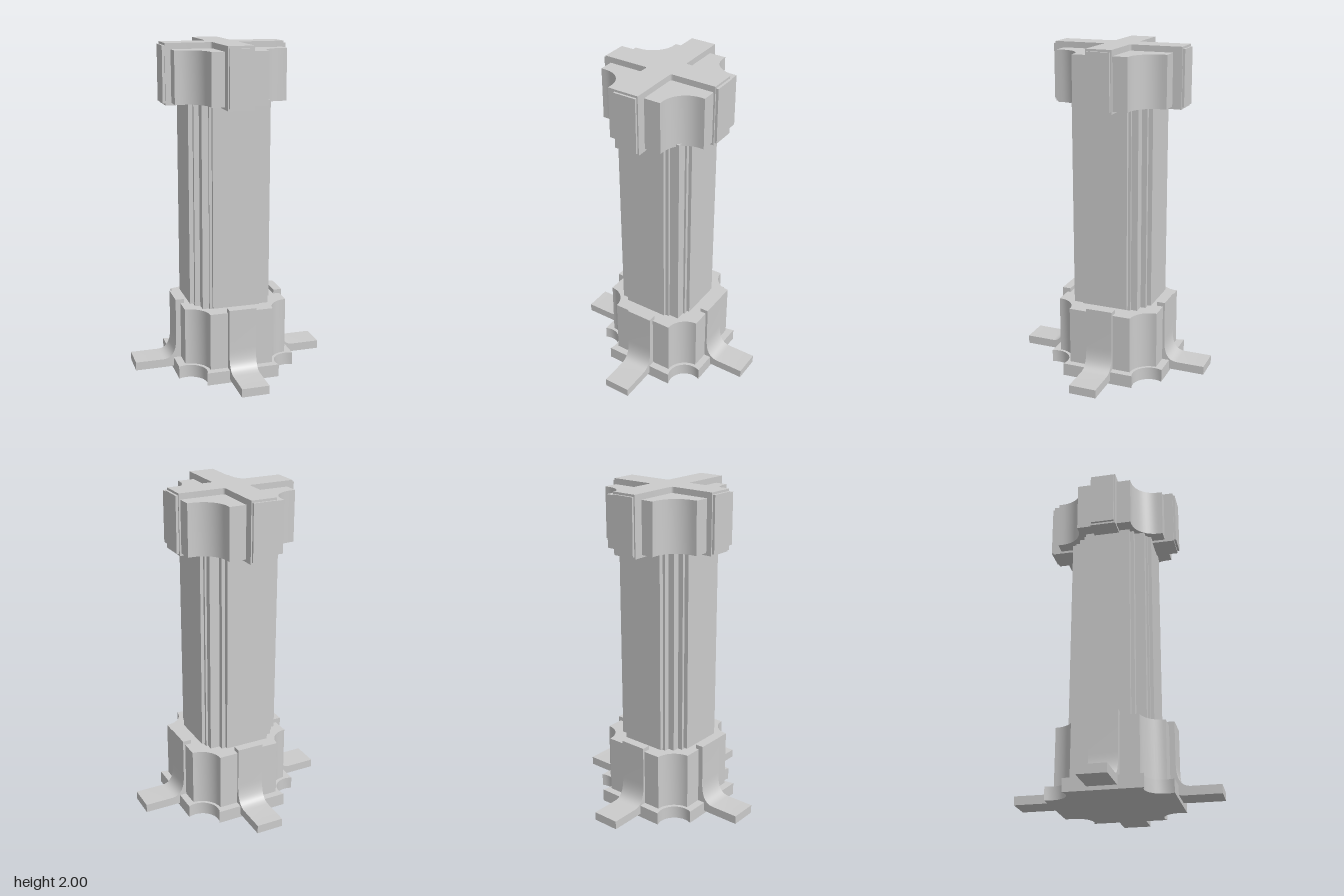
import * as THREE from 'three';
import { toCreasedNormals } from 'three/addons/utils/BufferGeometryUtils.js';

const material = new THREE.MeshStandardMaterial({ color: 0xcccccc });

function add(parent, name, geometry, x = 0, y = 0, z = 0) {
  const mesh = new THREE.Mesh(geometry, material);
  mesh.name = name;
  mesh.position.set(x, y, z);
  parent.add(mesh);
  return mesh;
}

// Extrude a plan outline upwards from y = 0
function extrudeUp(points, height) {
  const geometry = new THREE.ExtrudeGeometry(new THREE.Shape(points), { depth: height, bevelEnabled: false });
  return toCreasedNormals(geometry.rotateX(-Math.PI / 2), 0.5);
}

// Repeat one corner's points around four quarter turns
function fourfold(corner) {
  const points = [];
  for (let k = 0; k < 4; k++) {
    for (const p of corner) points.push(p.clone().rotateAround(new THREE.Vector2(), k * Math.PI / 2));
  }
  return points;
}

// Square block with a round scoop taken out of each corner
function scooped(half, flat, centre, radius, sweepDeg, height) {
  const corner = [new THREE.Vector2(half, flat)];
  const steps = 12;
  for (let i = 0; i <= steps; i++) {
    const a = THREE.MathUtils.degToRad(225 + sweepDeg * (1 - 2 * i / steps));
    corner.push(new THREE.Vector2(centre + radius * Math.cos(a), centre + radius * Math.sin(a)));
  }
  corner.push(new THREE.Vector2(flat, half));
  const clean = corner.filter((p, i) => i === 0 || p.distanceTo(corner[i - 1]) > 0.002);
  return extrudeUp(fourfold(clean), height);
}

// Bent strap: upright against the base, curving outwards to a flat foot
function footStrap(width) {
  const s = new THREE.Shape();
  s.moveTo(0.29, 0.455);
  s.lineTo(0.29, 0.12);
  s.quadraticCurveTo(0.295, 0.02, 0.39, 0.02);
  s.lineTo(0.597, 0.02);
  s.lineTo(0.597, 0.072);
  s.lineTo(0.42, 0.072);
  s.bezierCurveTo(0.365, 0.075, 0.342, 0.12, 0.342, 0.21);
  s.lineTo(0.342, 0.455);
  s.closePath();
  const geometry = new THREE.ExtrudeGeometry(s, { depth: width, bevelEnabled: false, curveSegments: 10 });
  return toCreasedNormals(geometry.translate(0, 0, -width / 2), 0.5);
}

export function createModel() {
  const model = new THREE.Group();
  model.name = 'column';

  // Base: thin plate and scooped block
  add(model, 'basePlate', scooped(0.365, 0.225, 0.32, 0.105, 70.3, 0.078), 0.006, 0, -0.01);
  add(model, 'baseBlock', scooped(0.32, 0.195, 0.32, 0.125, 45, 0.355), 0.008, 0.075, -0.01);

  // Four foot straps
  const strap = footStrap(0.167);
  for (let k = 0; k < 4; k++) {
    add(model, 'footStrap', strap, 0.004 * (k % 2), 0, k % 2 ? 0 : -0.012).rotation.y = k * Math.PI / 2;
  }

  // Shaft: square core, stepped ribs and face panels
  const shaft = new THREE.Group();
  shaft.name = 'shaft';
  model.add(shaft);
  add(shaft, 'shaftCore', new THREE.BoxGeometry(0.412, 1.26, 0.412), 0, 1.045, 0);
  for (const turn of [0, Math.PI / 2]) {
    add(shaft, 'shaftRib', new THREE.BoxGeometry(0.456, 1.26, 0.312), -0.01, 1.045, -0.01).rotation.y = turn;
    add(shaft, 'shaftPanel', new THREE.BoxGeometry(0.503, 1.22, 0.274), -0.013, 1.05, -0.013).rotation.y = turn;
  }

  // Capital: scooped block
  add(model, 'capitalBlock', scooped(0.336, 0.167, 0.31, 0.143, 45, 0.305), -0.01, 1.66, -0.019);

  // Crossed straps over the capital, with small fillets where they meet
  const hx = 0.358, hz = 0.392, w = 0.078, f = 0.015;
  const cross = new THREE.Shape();
  cross.moveTo(hx, -w);
  cross.lineTo(hx, w);
  cross.lineTo(w + f, w);
  cross.quadraticCurveTo(w, w, w, w + f);
  cross.lineTo(w, hz);
  cross.lineTo(-w, hz);
  cross.lineTo(-w, w + f);
  cross.quadraticCurveTo(-w, w, -w - f, w);
  cross.lineTo(-hx, w);
  cross.lineTo(-hx, -w);
  cross.lineTo(-w - f, -w);
  cross.quadraticCurveTo(-w, -w, -w, -w - f);
  cross.lineTo(-w, -hz);
  cross.lineTo(w, -hz);
  cross.lineTo(w, -w - f);
  cross.quadraticCurveTo(w, -w, w + f, -w);
  cross.closePath();
  add(model, 'capitalCross', extrudeUp(cross.getPoints(4), 0.355), -0.022, 1.645, -0.018);

  // Raised plates on the ends of the cross
  for (const side of [-1, 1]) {
    add(model, 'endPlate', new THREE.BoxGeometry(0.03, 0.33, 0.14), -0.022 + side * 0.358, 1.822, -0.018);
    add(model, 'endPlate', new THREE.BoxGeometry(0.14, 0.33, 0.03), -0.022, 1.822, -0.018 + side * 0.39);
  }
  return model;
}
